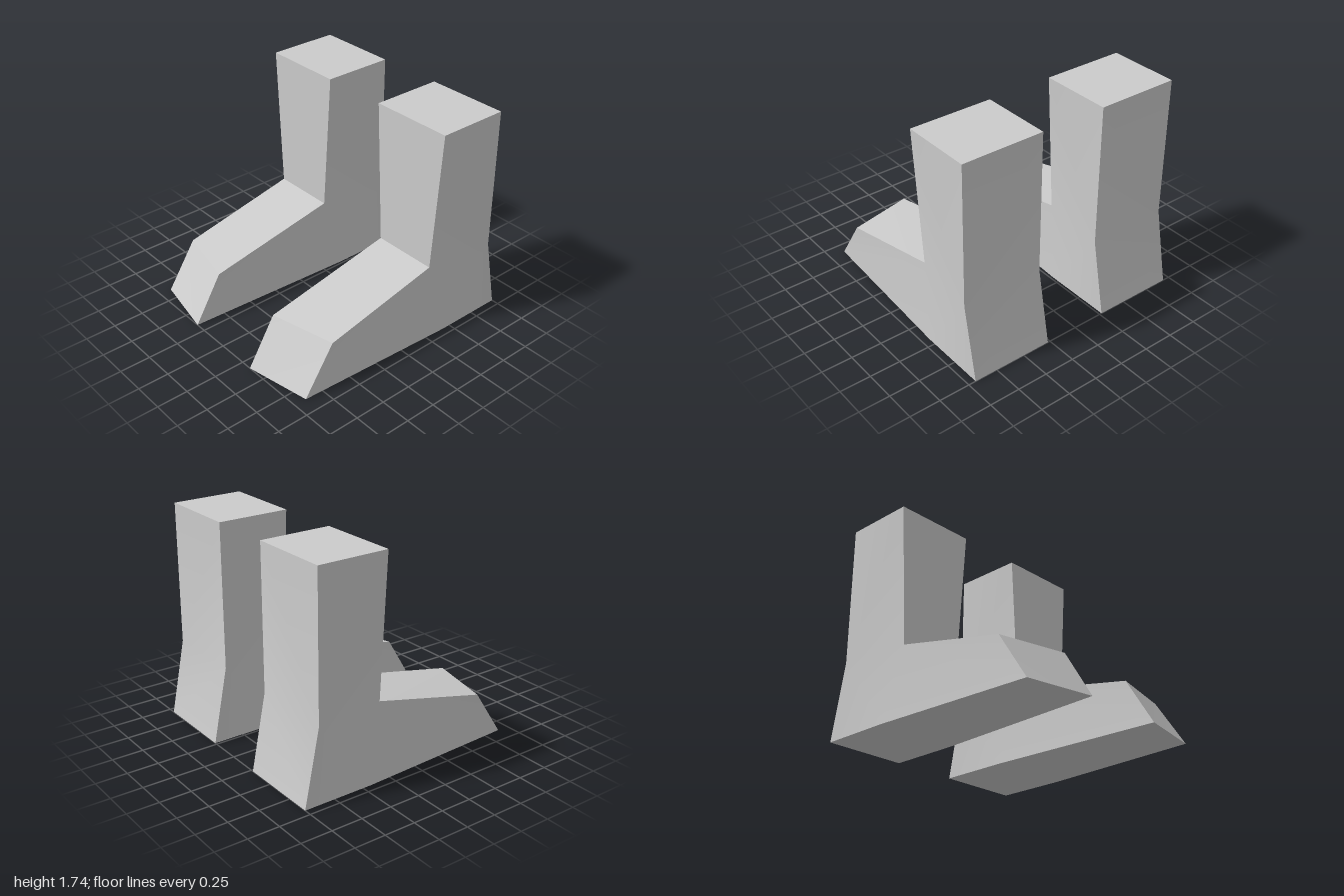
import * as THREE from 'three';
import { toCreasedNormals } from 'three/addons/utils/BufferGeometryUtils.js';

// Boot outline, counter-clockwise: [outer x, inner x, y, outer z, inner z]
const OUTLINE = [
  [-0.9, -1, 0, 0.87, 0.34],        // 0 toe at the ground
  [0.43, 0.43, 0, 0.94, 0.27],      // 1 sole under the ankle
  [1, 1, 0, 0.94, 0.27],            // 2 heel at the ground
  [0.88, 0.88, 0.6, 0.94, 0.27],    // 3 back of the ankle
  [0.88, 0.88, 1.74, 0.94, 0.27],   // 4 back of the shaft top
  [0.305, 0.305, 1.74, 0.94, 0.27], // 5 front of the shaft top
  [0.305, 0.305, 0.6, 0.87, 0.34],  // 6 front of the ankle, narrowed
  [-0.65, -0.77, 0.38, 0.87, 0.34], // 7 top of the toe
];

// Triangles filling the outline on the boot's side
const SIDE = [[0, 1, 6], [0, 6, 7], [1, 3, 6], [1, 2, 3], [3, 5, 6], [3, 4, 5]];

function bootGeometry(mirror) {
  const n = OUTLINE.length;
  const positions = [
    ...OUTLINE.map(([x, , y, z]) => [x, y, z * mirror]),
    ...OUTLINE.map(([, x, y, , z]) => [x, y, z * mirror]),
  ].flat();

  const faces = [];
  // outer and inner sides
  for (const [a, b, c] of SIDE) faces.push([a, b, c], [a + n, c + n, b + n]);
  // band joining the two sides
  for (let i = 0; i < n; i++) {
    const j = (i + 1) % n;
    faces.push([i, i + n, j + n], [i, j + n, j]);
  }
  // mirroring turns the faces inside out, so reverse their corners
  const index = faces.flatMap(([a, b, c]) => (mirror > 0 ? [a, b, c] : [a, c, b]));

  const geometry = new THREE.BufferGeometry();
  geometry.setAttribute('position', new THREE.Float32BufferAttribute(positions, 3));
  geometry.setIndex(index);
  return toCreasedNormals(geometry, Math.PI / 9);
}

export function createModel() {
  const group = new THREE.Group();
  group.name = 'boots';
  const material = new THREE.MeshStandardMaterial({ color: 0xcccccc });

  // the pair, mirrored front to back
  for (const [name, mirror] of [['frontBoot', 1], ['backBoot', -1]]) {
    const boot = new THREE.Mesh(bootGeometry(mirror), material);
    boot.name = name;
    group.add(boot);
  }
  return group;
}
